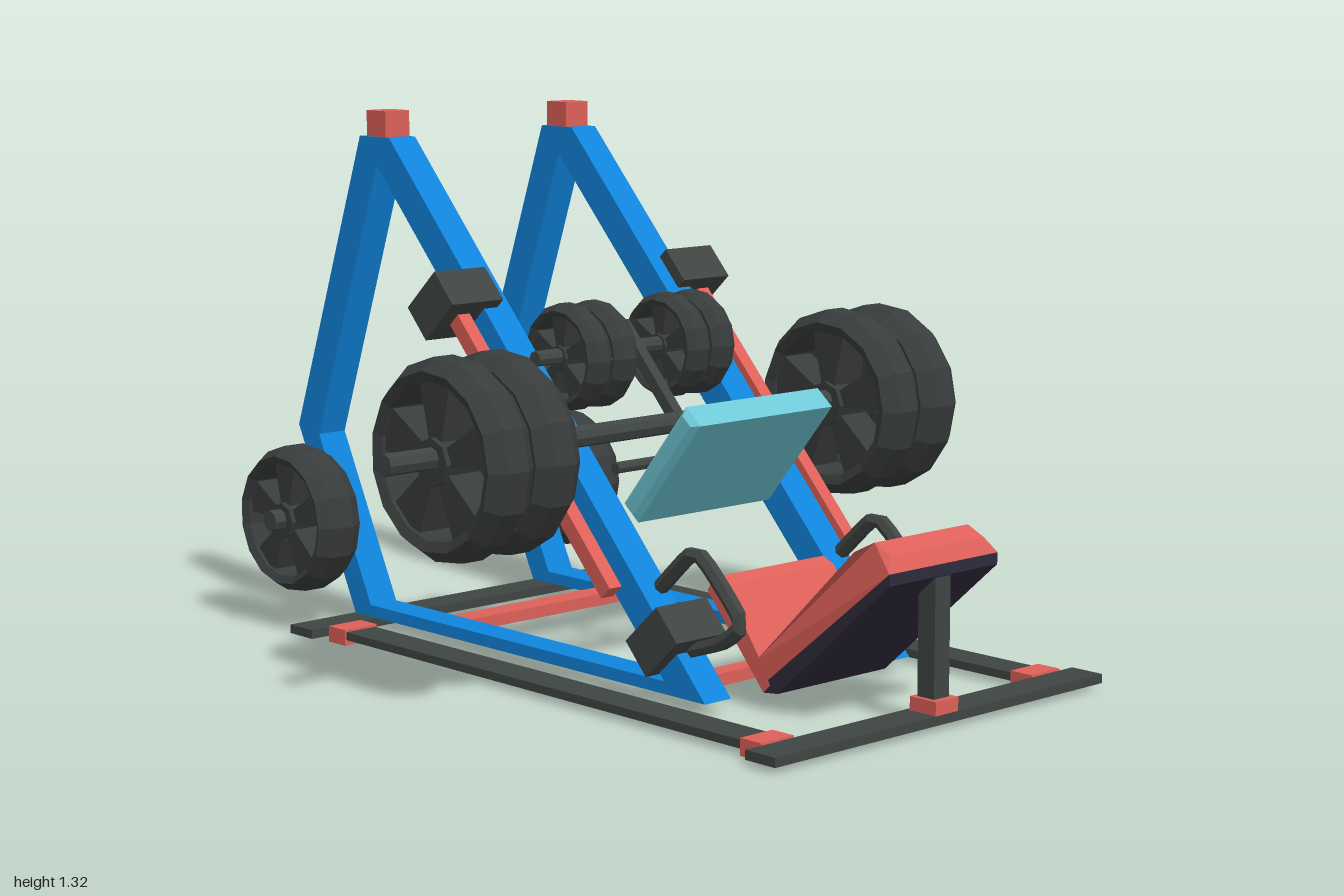
import * as THREE from 'three';

const mat = (name, color) => {
  const m = new THREE.MeshStandardMaterial({ color, flatShading: true });
  m.name = name;
  return m;
};

export function createModel() {
  const root = new THREE.Group();
  root.name = 'legPressMachine';
  const blue = mat('frameBlue', 0x0f84dc);
  const red = mat('accentRed', 0xdd6059);
  const grey = mat('steelGrey', 0x3f4543);
  const iron = mat('plateIron', 0x393c3c);
  const teal = mat('footplateTeal', 0x6fc8d6);
  const navy = mat('padBackNavy', 0x2f2b3b);
  const BEAM = -0.747; // tilt of the sloping beams

  const add = (name, geo, material, x = 0, y = 0, z = 0, tilt = 0, parent = root) => {
    const m = new THREE.Mesh(geo, material);
    m.name = name;
    m.position.set(x, y, z);
    m.rotation.x = tilt;
    parent.add(m);
    return m;
  };
  const box = (name, w, h, d, material, x, y, z, tilt = 0) =>
    add(name, new THREE.BoxGeometry(w, h, d), material, x, y, z, tilt);
  const rod = (name, r, length, material, x, y, z, parent = root) =>
    add(name, new THREE.CylinderGeometry(r, r, length, 8).rotateZ(Math.PI / 2), material, x, y, z, 0, parent);

  // Side profile given as [z, y] points, extruded across x and centred
  const profile = (points, width, hole, bevel = 0) => {
    const v = (list) => list.map(([a, b]) => new THREE.Vector2(a, b));
    const shape = new THREE.Shape(v(points));
    if (hole) shape.holes.push(new THREE.Path(v(hole)));
    const geo = new THREE.ExtrudeGeometry(shape, {
      depth: width - 2 * bevel, bevelEnabled: bevel > 0,
      bevelSize: bevel, bevelThickness: bevel, bevelOffset: -bevel, bevelSegments: 1,
    });
    return geo.translate(0, 0, bevel - width / 2).rotateY(-Math.PI / 2);
  };

  // Spoked weight plate: bevelled rim, hub and five wedge spokes
  const plate = (name, r, w, x, y, z) => {
    const g = new THREE.Group();
    g.name = name;
    g.position.set(x, y, z);
    const rim = [[0.78, -0.42], [0.88, -0.5], [1, -0.22], [1, 0.22], [0.88, 0.5], [0.78, 0.42], [0.78, -0.42]]
      .map(([a, b]) => new THREE.Vector2(a * r, b * w));
    add('rim', new THREE.LatheGeometry(rim, 15).rotateZ(Math.PI / 2), iron, 0, 0, 0, 0, g);
    rod('hub', r * 0.24, w * 0.9, iron, 0, 0, 0, g);
    const spoke = profile([[-0.08 * r, 0.15 * r], [0.08 * r, 0.15 * r], [0.24 * r, 0.82 * r], [-0.24 * r, 0.82 * r]], w * 0.7);
    for (let i = 0; i < 5; i++) add('spoke', spoke, iron, 0, 0, 0, (i * 2 * Math.PI) / 5, g);
    root.add(g);
  };

  // Floor frame
  box('frontFloorBar', 1.09, 0.022, 0.09, grey, 0, 0.024, 0.955);
  box('rearFloorBar', 1.09, 0.022, 0.09, grey, 0, 0.024, -0.672);
  box('frontCrossTie', 0.52, 0.03, 0.05, red, 0, 0.05, 0.45);
  box('rearCrossTie', 0.52, 0.03, 0.07, red, 0, 0.05, -0.385);

  const outer = [[0.575, 0.035], [-0.553, 1.257], [-0.67, 1.257], [-0.944, 0.497], [-0.714, 0.035]];
  const inner = [[0.44, 0.065], [-0.604, 1.187], [-0.858, 0.481], [-0.651, 0.065]];
  const frameGeo = profile(outer, 0.082, inner);
  const handlePath = new THREE.CatmullRomCurve3(
    [[0.14, 0.49], [0.175, 0.59], [0.23, 0.648], [0.345, 0.54], [0.365, 0.49], [0.27, 0.385]]
      .map(([y, z]) => new THREE.Vector3(0, y, z)), false, 'catmullrom', 0.3);
  const handleGeo = new THREE.TubeGeometry(handlePath, 16, 0.019, 6);

  for (const s of [-1, 1]) {
    box('floorRail', 0.09, 0.02, 1.56, grey, s * 0.447, 0.024, 0.14);
    box('railSleeve', 0.1, 0.04, 0.065, red, s * 0.447, 0.02, 0.878);
    box('railSleeve', 0.1, 0.04, 0.065, red, s * 0.447, 0.02, -0.588);

    // Sloping side frame with its cap
    add('sideFrame', frameGeo, blue, s * 0.3);
    box('frameCap', 0.075, 0.065, 0.075, red, s * 0.297, 1.289, -0.612);

    // Guide rod and stop blocks
    box('guideRod', 0.037, 0.8, 0.04, red, s * 0.396, 0.555, 0.05, BEAM);
    box('upperStop', 0.157, 0.1, 0.14, grey, s * 0.378, 0.876, -0.255, BEAM);
    box('lowerStop', 0.157, 0.1, 0.14, grey, s * 0.302, 0.162, 0.438, BEAM);
    add('handGrip', handleGeo, grey, s * 0.3);

    // Stored plate at the rear
    rod('storagePeg', 0.027, 0.19, grey, s * 0.44, 0.285, -0.812);
    plate('storedPlate', 0.187, 0.13, s * 0.443, 0.283, -0.808);

    // Plates on the main and small bars
    for (const x of [0.566, 0.705]) plate('largePlate', 0.236, 0.132, s * x, 0.582, 0.125);
    for (const x of [0.121, 0.204]) plate('smallPlate', 0.13, 0.077, s * x, 0.752, -0.043);
  }

  // Sled: bars, spine and footplate
  rod('mainBar', 0.026, 1.8, grey, 0, 0.592, 0.128);
  rod('smallBar', 0.019, 0.625, grey, 0, 0.757, -0.04);
  rod('sledCrossRod', 0.014, 0.52, grey, 0, 0.517, 0.185);
  box('sledSpine', 0.028, 0.43, 0.03, grey, 0, 0.655, 0.07, BEAM);
  const foot = profile([[-0.031, -0.165], [0.031, -0.165], [0.031, 0.165], [-0.031, 0.165]], 0.462, null, 0.014);
  add('footplate', foot, teal, 0, 0.533, 0.3, 0.693);

  // Reclined backrest, narrowing at the head end
  const pad = profile([[0.985, 0.375], [0.965, 0.41], [0.917, 0.433], [0.88, 0.41], [0.575, 0.11], [0.612, 0.07]], 0.36);
  const p = pad.attributes.position;
  for (let i = 0; i < p.count; i++) {
    if (p.getY(i) > 0.4 && p.getZ(i) > 0.9) p.setX(i, p.getX(i) * 0.86);
  }
  add('backrestPad', pad, red);
  add('backrestShell', profile([[0.985, 0.375], [0.612, 0.07], [0.6, 0.04], [0.645, 0.045], [0.985, 0.348]], 0.358), navy);
  add('seatPad', profile([[0.62, 0.06], [0.6, 0.04], [0.415, 0.25], [0.44, 0.285], [0.475, 0.27], [0.585, 0.12]], 0.36), red);

  // Backrest support post
  box('seatPost', 0.05, 0.32, 0.05, grey, 0, 0.2, 0.957);
  box('seatPostFoot', 0.075, 0.035, 0.078, red, 0, 0.05, 0.96);

  return root;
}
